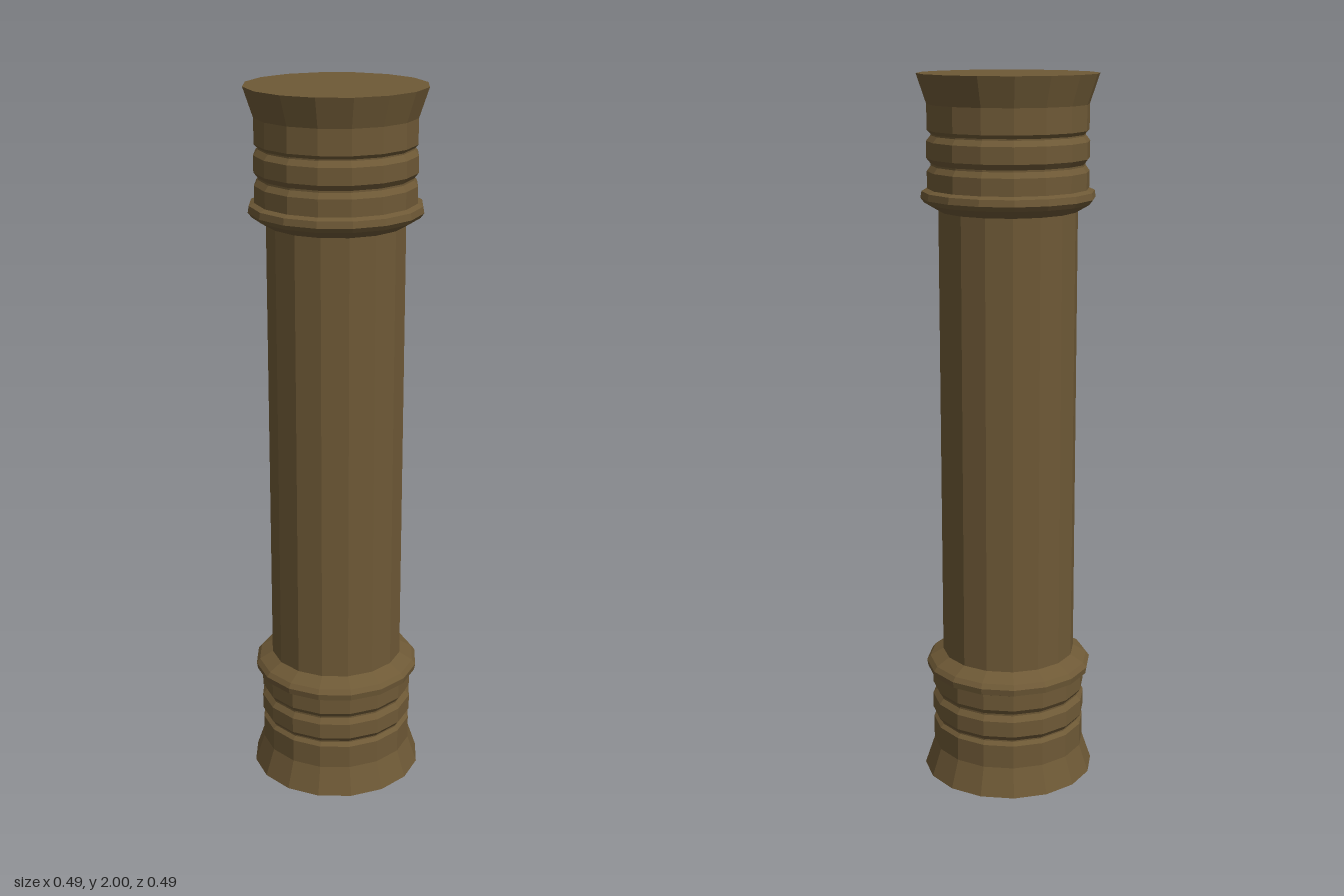
import * as THREE from 'three';

const SIDES = 16;

// Turned solid from a bottom-to-top [radius, height] profile, with flat facets
function turned(name, profile, material) {
  const points = profile.map(([r, y]) => new THREE.Vector2(r, y));
  const geometry = new THREE.LatheGeometry(points, SIDES).toNonIndexed();
  geometry.computeVertexNormals();
  const mesh = new THREE.Mesh(geometry, material);
  mesh.name = name;
  return mesh;
}

export function createModel() {
  const group = new THREE.Group();
  group.name = 'column';
  const brown = new THREE.MeshStandardMaterial({ color: 0x6e5936 });
  brown.name = 'brown';

  // Flared foot, two grooved bands and a collar closing onto the shaft
  const base = [
    [0, 0], [0.246, 0], [0.219, 0.08],
    [0.219, 0.148], [0.209, 0.158], [0.209, 0.162], [0.221, 0.177],
    [0.221, 0.222], [0.209, 0.237], [0.209, 0.242], [0.22, 0.257],
    [0.22, 0.303], [0.235, 0.31], [0.238, 0.328], [0.228, 0.341],
    [0.19, 0.363],
  ];
  // The capital is the base turned upside down
  const capital = base.map(([r, y]) => [r, 2 - y]).reverse();

  group.add(turned('base', base, brown));
  group.add(turned('shaft', [[0.19, 0.363], [0.19, 1.637]], brown));
  group.add(turned('capital', capital, brown));
  return group;
}
